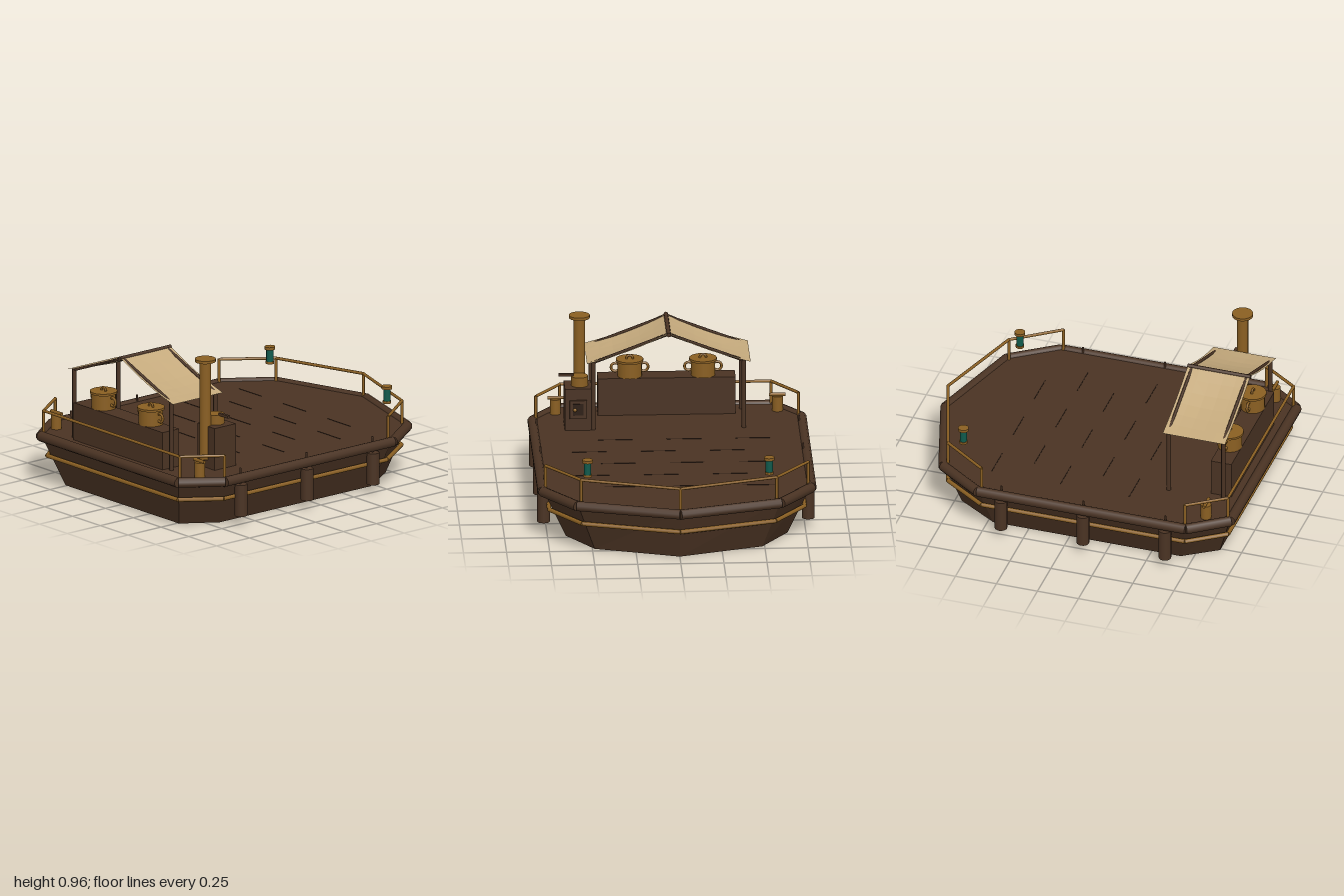
import * as THREE from 'three';

const flat = (name, color) => {
  const m = new THREE.MeshStandardMaterial({ color });
  m.name = name;
  return m;
};

export function createModel() {
  const wood = flat('darkWood', 0x4a3323);
  const seamMat = flat('seamBrown', 0x2c1d14);
  const brass = flat('brass', 0x8a5f22);
  const teal = flat('tealGlass', 0x0f5a4c);
  const canvas = flat('canvas', 0xc4a97c);
  canvas.side = THREE.DoubleSide;

  const root = new THREE.Group();
  root.name = 'kitchenBarge';

  // Helpers
  const V = (x, y, z) => new THREE.Vector3(x, y, z);
  const add = (name, geo, mat, x = 0, y = 0, z = 0, parent = root) => {
    const m = new THREE.Mesh(geo, mat);
    m.name = name;
    m.position.set(x, y, z);
    parent.add(m);
    return m;
  };
  const box = (name, mat, w, h, d, x, y, z) => add(name, new THREE.BoxGeometry(w, h, d), mat, x, y, z);
  const cyl = (name, mat, r, y0, y1, x, z, parent = root, seg = 16) =>
    add(name, new THREE.CylinderGeometry(r, r, y1 - y0, seg), mat, x, (y0 + y1) / 2, z, parent);
  const rod = (name, mat, a, b, r, seg = 8) => {
    const d = b.clone().sub(a), mid = a.clone().add(b).multiplyScalar(0.5);
    const m = add(name, new THREE.CylinderGeometry(r, r, d.length(), seg), mat, mid.x, mid.y, mid.z);
    m.quaternion.setFromUnitVectors(V(0, 1, 0), d.normalize());
    return m;
  };
  const group = (name, x, y, z) => {
    const g = new THREE.Group();
    g.name = name;
    g.position.set(x, y, z);
    root.add(g);
    return g;
  };

  // Hull: deck outline tapering to a flat bottom
  const half = [[0.62, 0.97], [0.78, 0.75], [0.78, -0.52], [0.59, -0.79]];
  const outline = [...half, [0, -0.97], ...half.slice().reverse().map(([x, z]) => [-x, z])];
  const ring = (y, sx, sz) => outline.map(([x, z]) => V(x * sx, y, z * sz));
  const deckY = 0.305;
  const low = ring(0, 0.825, 0.9), high = ring(deckY, 1, 1);
  const tris = [];
  low.forEach((_, i) => {
    const j = (i + 1) % low.length;
    tris.push(low[i], low[j], high[j], low[i], high[j], high[i]);
    tris.push(V(0, deckY, 0), high[i], high[j], V(0, 0, 0), low[j], low[i]);
  });
  const hullGeo = new THREE.BufferGeometry().setFromPoints(tris);
  hullGeo.computeVertexNormals();
  add('hull', hullGeo, wood);

  // Gunwale and brass rubbing strip follow the outline
  const edge = ring(0.29, 1, 1), strip = ring(0.175, 0.95, 0.975);
  edge.forEach((p, i) => {
    const j = (i + 1) % edge.length;
    rod('gunwale', wood, p, edge[j], 0.03, 10);
    rod('rubbingStrip', brass, strip[i], strip[j], 0.013);
  });

  // Short plank seams on the deck
  for (let row = 0; row < 5; row++) {
    for (let col = -1; col <= 1; col++) {
      box('plankSeam', seamMat, 0.2, 0.002, 0.005, col * 0.4 + (row % 2 ? 0.08 : -0.08), deckY + 0.001, -0.5 + row * 0.21);
    }
  }

  // Fenders hung from small pegs
  for (const s of [-1, 1]) {
    for (const z of [0.62, 0.12, -0.38]) {
      cyl('fender', wood, 0.037, 0.06, 0.25, s * 0.768, z);
      cyl('fenderLine', wood, 0.006, 0.24, 0.345, s * 0.762, z, root, 6);
    }
  }

  // Bow and stern railings
  const railing = (name, pts) => {
    pts.forEach(([x, z], i) => {
      cyl(name + 'Post', brass, 0.009, 0.3, 0.445, x, z, root, 8);
      if (i) rod(name, brass, V(pts[i - 1][0], 0.442, pts[i - 1][1]), V(x, 0.442, z), 0.009);
    });
  };
  railing('bowRail', [[0.762, -0.5], [0.567, -0.768], [0, -0.953], [-0.567, -0.768], [-0.762, -0.5]]);
  railing('sternRail', [[0.762, 0.74], [0.613, 0.953], [-0.613, 0.953], [-0.762, 0.74]]);

  for (const s of [-1, 1]) {
    // Lantern
    const lantern = group('lantern', s * 0.527, 0.435, -0.688);
    cyl('lanternBase', brass, 0.025, 0, 0.014, 0, 0, lantern);
    cyl('lanternGlass', teal, 0.021, 0.014, 0.086, 0, 0, lantern);
    cyl('lanternCap', brass, 0.031, 0.086, 0.103, 0, 0, lantern);

    // Mooring bollard with crossbar
    cyl('bollard', brass, 0.031, 0.3, 0.395, s * 0.645, 0.83);
    rod('bollardBar', brass, V(s * 0.595, 0.402, 0.83), V(s * 0.69, 0.402, 0.83), 0.01);

    // Cooking pot
    const pot = group('cookingPot', s * 0.213, 0.53, 0.835);
    cyl('potBody', brass, 0.071, 0, 0.09, 0, 0, pot, 20);
    cyl('potLid', brass, 0.08, 0.09, 0.103, 0, 0, pot, 20);
    const loop = new THREE.TorusGeometry(0.025, 0.008, 6, 16);
    add('potHandle', loop, brass, 0.083, 0.052, 0, pot);
    add('potHandle', loop, brass, -0.083, 0.052, 0, pot);
    add('lidHandle', new THREE.TorusGeometry(0.018, 0.007, 6, 14), brass, 0, 0.106, 0, pot);

    // Canopy posts and rafters
    for (const z of [0.535, 0.868]) {
      cyl('canopyPost', wood, 0.013, 0.3, 0.72, s * 0.437, z, root, 8);
      rod('rafter', wood, V(s * 0.44, 0.713, z), V(0, 0.882, z), 0.009, 6);
    }
  }

  // Counter
  box('counter', wood, 0.8, 0.23, 0.125, 0, 0.415, 0.842);

  // Canopy ridge and sagging cloth
  rod('ridgePole', wood, V(0, 0.884, 0.508), V(0, 0.884, 0.892), 0.013, 8);
  const cloth = new THREE.PlaneGeometry(0.95, 0.38, 12, 5).rotateX(-Math.PI / 2);
  const pos = cloth.attributes.position;
  for (let i = 0; i < pos.count; i++) {
    const t = Math.abs(pos.getX(i)) / 0.475;
    const w = Math.cos((pos.getZ(i) / 0.38) * Math.PI);
    pos.setY(i, 0.89 - 0.176 * t - Math.sin(Math.PI * t) * (0.015 + 0.014 * w));
  }
  const clothGeo = cloth.toNonIndexed();
  clothGeo.computeVertexNormals();
  add('canopyCloth', clothGeo, canvas, 0, 0, 0.7);

  // Stove with chimney, pan and rear door
  box('stove', wood, 0.155, 0.255, 0.16, 0.525, 0.43, 0.6);
  cyl('chimney', brass, 0.033, 0.355, 0.945, 0.512, 0.675);
  cyl('chimneyCap', brass, 0.061, 0.943, 0.96, 0.512, 0.675, root, 20);
  cyl('pan', brass, 0.05, 0.557, 0.615, 0.515, 0.598, root, 20);
  box('panHandle', wood, 0.085, 0.016, 0.018, 0.593, 0.62, 0.6);
  box('stoveDoor', wood, 0.1, 0.11, 0.012, 0.525, 0.435, 0.515);
  box('doorPanel', seamMat, 0.06, 0.07, 0.004, 0.525, 0.435, 0.508);
  add('doorKnob', new THREE.SphereGeometry(0.011, 10, 8), brass, 0.545, 0.435, 0.503);

  return root;
}
